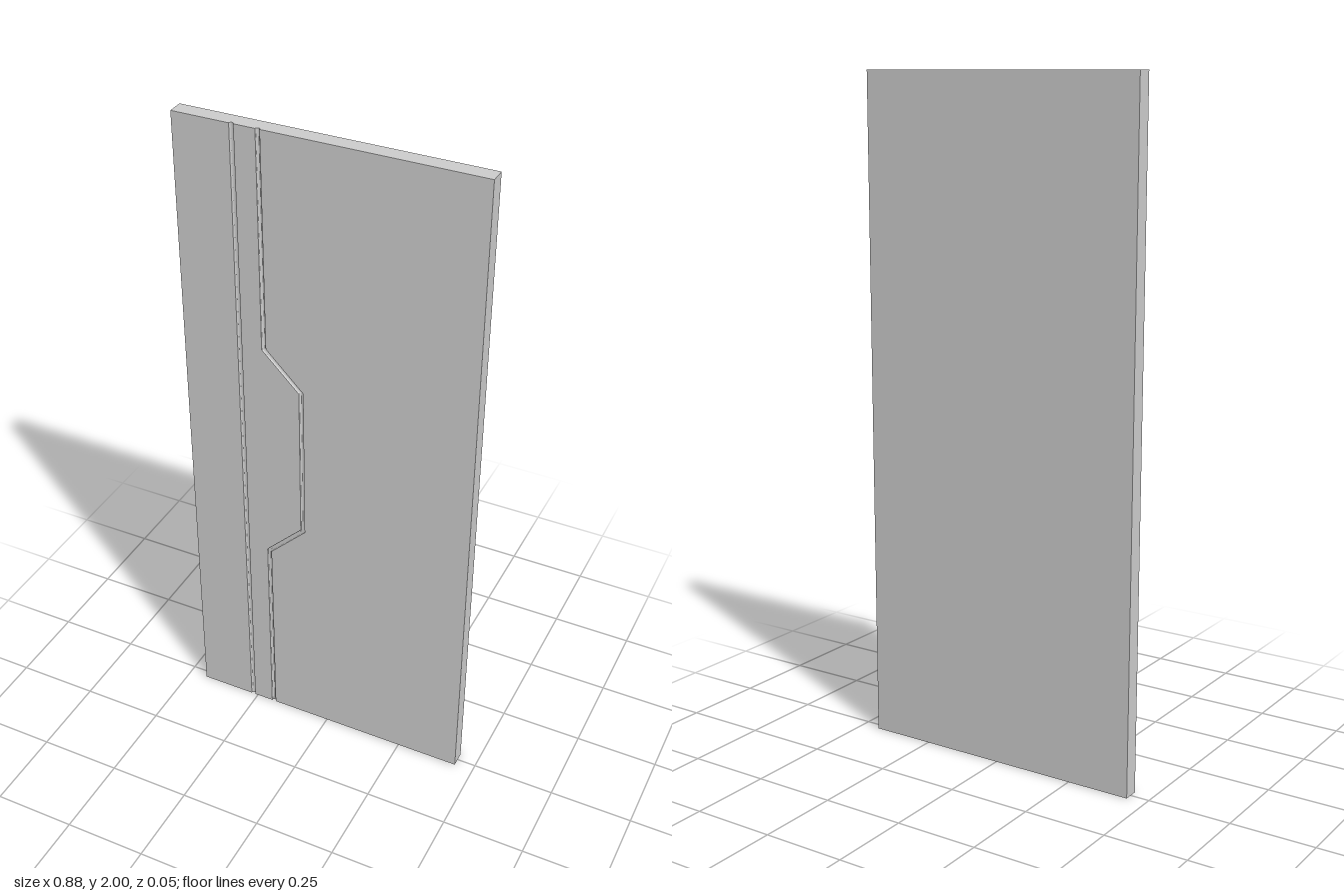
import * as THREE from 'three';
import { toCreasedNormals } from 'three/addons/utils/BufferGeometryUtils.js';

const HALF_WIDTH = 0.442, HALF_DEPTH = 0.0235, GROOVE_R = 0.0065;
const STRAIGHT_X = -0.266, BENT_X = -0.191, JOG = 0.113;

// Heights along the panel, sideways shift of the bent groove there, and mitre direction
const rows = [
  { y: 0, shift: 0, mitre: 0 },
  { y: 0.634, shift: 0, mitre: -1 },
  { y: 0.747, shift: JOG, mitre: -1 },
  { y: 1.235, shift: JOG, mitre: 1 },
  { y: 1.348, shift: 0, mitre: 1 },
  { y: 2, shift: 0, mitre: 0 },
];

// Horizontal section of the panel with two half-round grooves in the front edge
function panelSection() {
  const s = new THREE.Shape();
  s.moveTo(-HALF_WIDTH, -HALF_DEPTH);
  for (const x of [STRAIGHT_X, BENT_X]) {
    s.lineTo(x - GROOVE_R, -HALF_DEPTH);
    s.absarc(x, -HALF_DEPTH, GROOVE_R, Math.PI, 0, true);
  }
  s.lineTo(HALF_WIDTH, -HALF_DEPTH);
  s.lineTo(HALF_WIDTH, HALF_DEPTH);
  s.lineTo(-HALF_WIDTH, HALF_DEPTH);
  s.closePath();
  return s;
}

export function createModel() {
  const steps = rows.length - 1;
  const geometry = new THREE.ExtrudeGeometry(panelSection(), {
    depth: steps, steps, bevelEnabled: false, curveSegments: 8,
  });
  geometry.rotateX(-Math.PI / 2);

  // Set each level to its height and bend the second groove around the handle area
  const pos = geometry.attributes.position;
  const mitreSlope = Math.tan(Math.PI / 8);
  for (let i = 0; i < pos.count; i++) {
    const row = rows[Math.round(pos.getY(i))];
    const dx = pos.getX(i) - BENT_X;
    const inGroove = Math.abs(dx) < GROOVE_R + 1e-4;
    pos.setY(i, row.y + (inGroove ? dx * mitreSlope * row.mitre : 0));
    if (inGroove) pos.setX(i, BENT_X + dx + row.shift);
  }

  const panel = new THREE.Mesh(
    toCreasedNormals(geometry, 0.6),
    new THREE.MeshStandardMaterial({ color: 0xcccccc }),
  );
  panel.name = 'doorPanel';

  const group = new THREE.Group();
  group.name = 'door';
  group.add(panel);
  return group;
}
